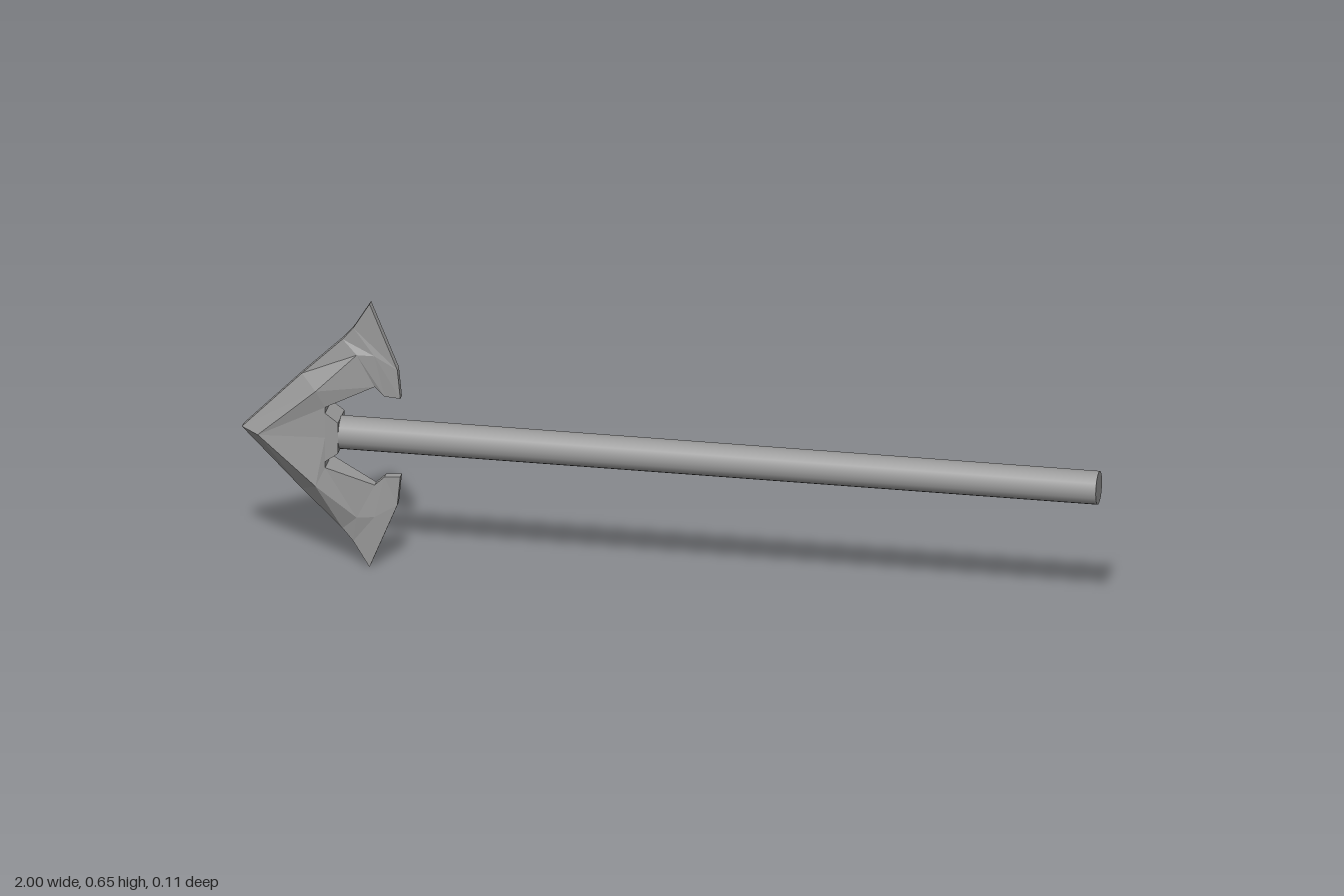
import * as THREE from 'three';

const MID = 0.328; // height of the shaft axis

// Each station across the head: leading edge, ridge and inner edge as [x, y above axis, half thickness]
const HALF = [
  [[-1.0, 0, 0.01], [-0.955, 0, 0.053], [-0.8, 0, 0.04]],
  [[-0.86, 0.143, 0.01], [-0.82, 0.118, 0.053], [-0.8, 0.075, 0.04]],
  [[-0.765, 0.235, 0.01], [-0.73, 0.202, 0.02], [-0.69, 0.122, 0.01]],
  [[-0.74, 0.265, 0.01], [-0.69, 0.2, 0.014], [-0.667, 0.1, 0.01]],
  [[-0.702, 0.327, 0.01], [-0.637, 0.168, 0.01], [-0.63, 0.097, 0.01]],
];

// Loft the stations from the lower barb to the upper barb
function headGeometry() {
  const lower = HALF.slice(1).reverse().map(s => s.map(([x, y, z]) => [x, -y, z]));
  const stations = [...lower, ...HALF];
  const pos = [], idx = [];
  for (const s of stations) {
    for (const [x, y, z] of s) pos.push(x, y, z);
    for (const [x, y, z] of [...s].reverse()) pos.push(x, y, -z);
  }
  const quad = (a, b, c, d) => idx.push(a, b, c, a, c, d);
  const last = stations.length - 1;
  for (let i = 0; i < last; i++) {
    for (let j = 0; j < 6; j++) {
      const a = i * 6 + j, b = i * 6 + (j + 1) % 6;
      quad(a, b, b + 6, a + 6);
    }
  }
  // End faces of both barbs
  const t = last * 6;
  quad(t, t + 1, t + 4, t + 5);
  quad(t + 1, t + 2, t + 3, t + 4);
  quad(5, 4, 1, 0);
  quad(4, 3, 2, 1);
  const g = new THREE.BufferGeometry();
  g.setAttribute('position', new THREE.Float32BufferAttribute(pos, 3));
  g.setIndex(idx);
  const flat = g.toNonIndexed();
  flat.computeVertexNormals();
  return flat;
}

// Wedge that narrows from the head down to the shaft
function collarGeometry() {
  const g = new THREE.BoxGeometry(0.05, 0.15, 0.08).toNonIndexed();
  const p = g.attributes.position;
  for (let i = 0; i < p.count; i++) {
    if (p.getX(i) > 0) p.setY(i, Math.sign(p.getY(i)) * 0.038);
  }
  g.computeVertexNormals();
  return g;
}

export function createModel() {
  const group = new THREE.Group();
  const grey = new THREE.MeshStandardMaterial({ color: 0x999999 });
  grey.name = 'grey';

  const add = (name, geometry, x) => {
    const mesh = new THREE.Mesh(geometry, grey);
    mesh.name = name;
    mesh.position.set(x, MID, 0);
    group.add(mesh);
    return mesh;
  };

  add('barbedHead', headGeometry(), 0);
  add('collar', collarGeometry(), -0.795);

  // Long round shaft along x
  const shaft = new THREE.CylinderGeometry(0.039, 0.039, 1.8, 20);
  shaft.rotateZ(-Math.PI / 2);
  add('shaft', shaft, 0.1);

  return group;
}
